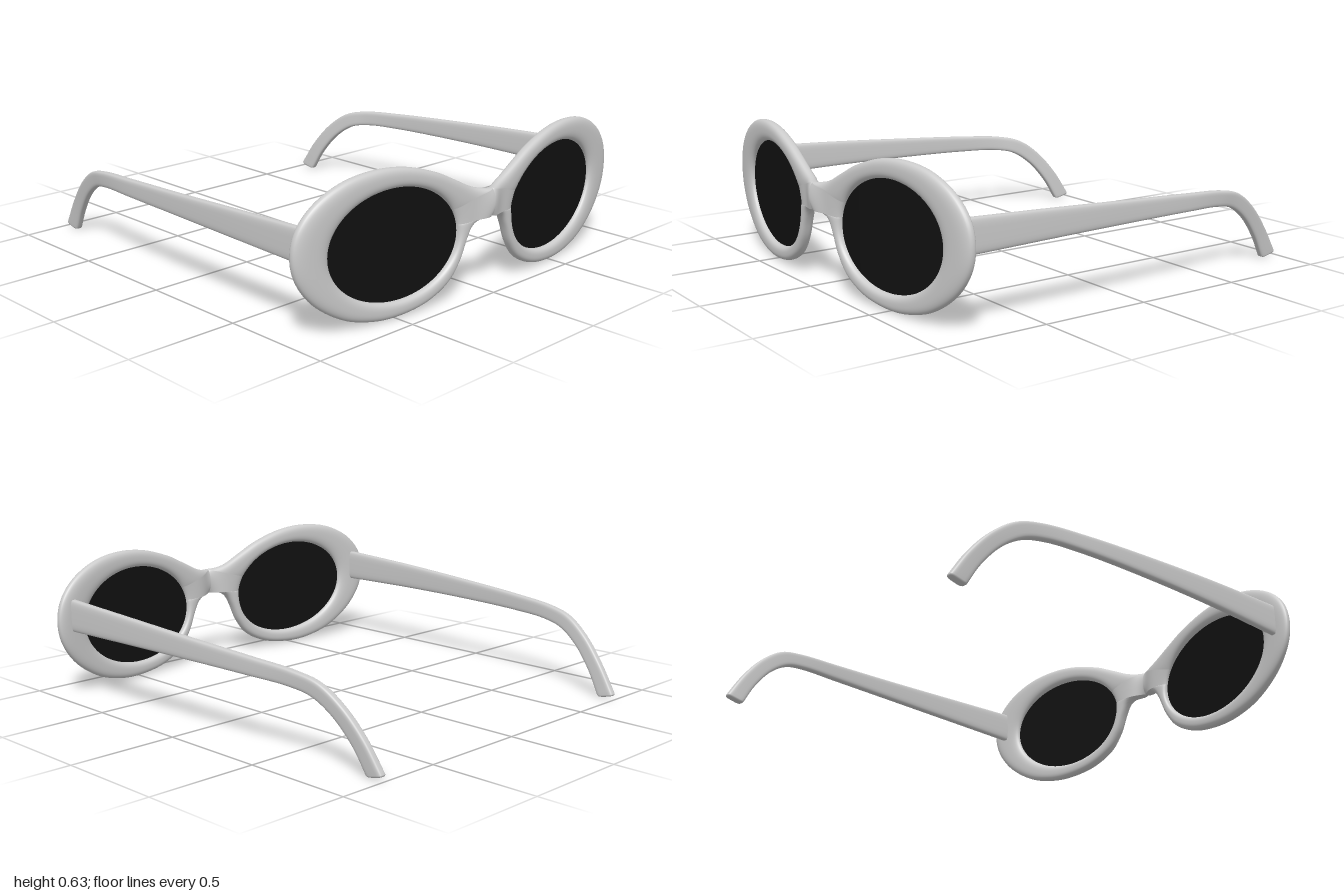
import * as THREE from 'three';
import { mergeGeometries, mergeVertices } from 'three/addons/utils/BufferGeometryUtils.js';
import { ParametricGeometry } from 'three/addons/geometries/ParametricGeometry.js';

const grey = new THREE.MeshStandardMaterial({ color: 0xcccccc });
const dark = new THREE.MeshStandardMaterial({ color: 0x111111, side: THREE.DoubleSide });

// Wrap of the front: swept back at the sides, with a bump at the bridge
const wrapZ = (x) => {
  const a = Math.abs(x);
  return 0.943 - 0.07 * a - 0.045 * a * a + 0.023 * Math.exp(-((a / 0.055) ** 2));
};

// Lens opening: a slightly tilted ellipse
const LENS = { x: 0.5, y: 0.314, a: 0.332, b: 0.234, tilt: 0.09 };
function lensPoint(angle, scale = 1) {
  const t = angle - LENS.tilt;
  const r = scale / Math.hypot(Math.cos(t) / LENS.a, Math.sin(t) / LENS.b);
  return new THREE.Vector2(LENS.x + r * Math.cos(angle), LENS.y + r * Math.sin(angle));
}

// Outer outline of one half of the frame, clockwise from the top of the bridge
const BRIDGE_TOP = 0.46, BRIDGE_BOTTOM = 0.34;
function halfOutline() {
  const arc = new THREE.SplineCurve([
    [0, BRIDGE_TOP], [0.04, 0.463], [0.1, 0.48], [0.2, 0.53], [0.3, 0.577], [0.45, 0.622],
    [0.6, 0.635], [0.75, 0.614], [0.88, 0.553], [0.963, 0.465], [0.99, 0.36], [0.965, 0.25],
    [0.885, 0.145], [0.76, 0.062], [0.63, 0.022], [0.5, 0.012], [0.35, 0.033], [0.23, 0.09],
    [0.165, 0.17], [0.125, 0.26], [0.09, 0.315], [0.045, 0.336], [0, BRIDGE_BOTTOM],
  ].map(([x, y]) => new THREE.Vector2(x, y)));
  const points = arc.getSpacedPoints(130).map((p) => ({ p, open: 0 }));
  // The bridge cut on the centre line keeps an elliptical thickness
  const n = 14;
  for (let i = 1; i <= n; i++) {
    const k = -Math.cos((Math.PI * i) / n);
    const y = (BRIDGE_TOP + BRIDGE_BOTTOM) / 2 + (k * (BRIDGE_TOP - BRIDGE_BOTTOM)) / 2;
    points.push({ p: new THREE.Vector2(0, y), open: Math.sqrt(Math.max(0, 1 - k * k)) });
  }
  return points;
}

// Frame: four quarter shells (left/right, front/back) welded into one smooth skin
function frameGeometry() {
  const outline = halfOutline();
  const n = outline.length - 1;
  const half = 0.028, power = 2.5;
  const shell = (sx, sz) => new ParametricGeometry((u, v, target) => {
    const i = Math.round((sx * sz > 0 ? u : 1 - u) * n);
    const { p, open } = outline[i];
    const inner = lensPoint(Math.atan2(p.y - LENS.y, p.x - LENS.x));
    const c = -Math.cos(Math.PI * v);
    const q = Math.max(0, 1 - Math.abs(c) ** power) ** (1 / power);
    const h = c > 0 ? Math.sqrt(q * q * (1 - open * open) + open * open) : q;
    const at = inner.lerp(p, (c + 1) / 2);
    target.set(sx * at.x, at.y, wrapZ(at.x) + sz * half * h);
  }, n, 20);
  return weld([shell(1, 1), shell(1, -1), shell(-1, 1), shell(-1, -1)]);
}

function weld(parts) {
  let g = mergeGeometries(parts);
  g.deleteAttribute('uv');
  g.deleteAttribute('normal');
  g = mergeVertices(g, 1e-4);
  g.computeVertexNormals();
  return g;
}

// Lens: thin disc following the wrap of the frame
function lensGeometry(sx) {
  return weld([new ParametricGeometry((u, v, target) => {
    const p = lensPoint(-sx * u * Math.PI * 2, 1.03 * v);
    target.set(sx * p.x, p.y, wrapZ(p.x));
  }, 72, 10)]);
}

// Temple stations: x, z and y of the upper edge, z and y of the lower edge
const TEMPLE = [
  [0.91, 0.84, 0.46, 0.84, 0.31], [0.905, 0.4, 0.44, 0.4, 0.318],
  [0.89, 0, 0.417, 0, 0.32], [0.867, -0.35, 0.395, -0.35, 0.316],
  [0.842, -0.58, 0.375, -0.55, 0.307], [0.822, -0.7, 0.345, -0.66, 0.283],
  [0.803, -0.81, 0.268, -0.76, 0.217], [0.785, -0.91, 0.155, -0.85, 0.113],
  [0.774, -0.99, 0.033, -0.908, 0.014],
];
function templeGeometry(sx) {
  const edge = (k) => new THREE.CatmullRomCurve3(
    TEMPLE.map((s) => new THREE.Vector3(sx * s[0], s[k + 1], s[k])));
  const upper = edge(1), lower = edge(3);
  const steps = 64, power = 0.5, width = 0.019;
  const cap = [[1, 0], [0.96, 0.004], [0.85, 0.008], [0.6, 0.01], [0, 0.01]];
  const soft = (a) => Math.sign(a) * Math.abs(a) ** power;
  return weld([new ParametricGeometry((u, v, target) => {
    const j = Math.round(u * (steps + 4));
    const t = Math.min(j, steps) / steps;
    const [scale, push] = cap[Math.max(0, j - steps)];
    const a = upper.getPoint(t), b = lower.getPoint(t);
    const reach = a.clone().sub(b).multiplyScalar(0.5 * scale * soft(Math.cos(v * Math.PI * 2)));
    target.copy(a).add(b).multiplyScalar(0.5).add(reach);
    target.x -= width * scale * soft(Math.sin(v * Math.PI * 2));
    target.y -= push * 0.85;
    target.z -= push * 0.5;
  }, steps + 4, 32)]);
}

export function createModel() {
  const group = new THREE.Group();
  group.name = 'sunglasses';
  const add = (geometry, material, name) => {
    const mesh = new THREE.Mesh(geometry, material);
    mesh.name = name;
    group.add(mesh);
  };
  add(frameGeometry(), grey, 'frame');
  for (const [sx, side] of [[1, 'left'], [-1, 'right']]) {
    add(lensGeometry(sx), dark, side + 'Lens');
    add(templeGeometry(sx), grey, side + 'Temple');
  }
  return group;
}
